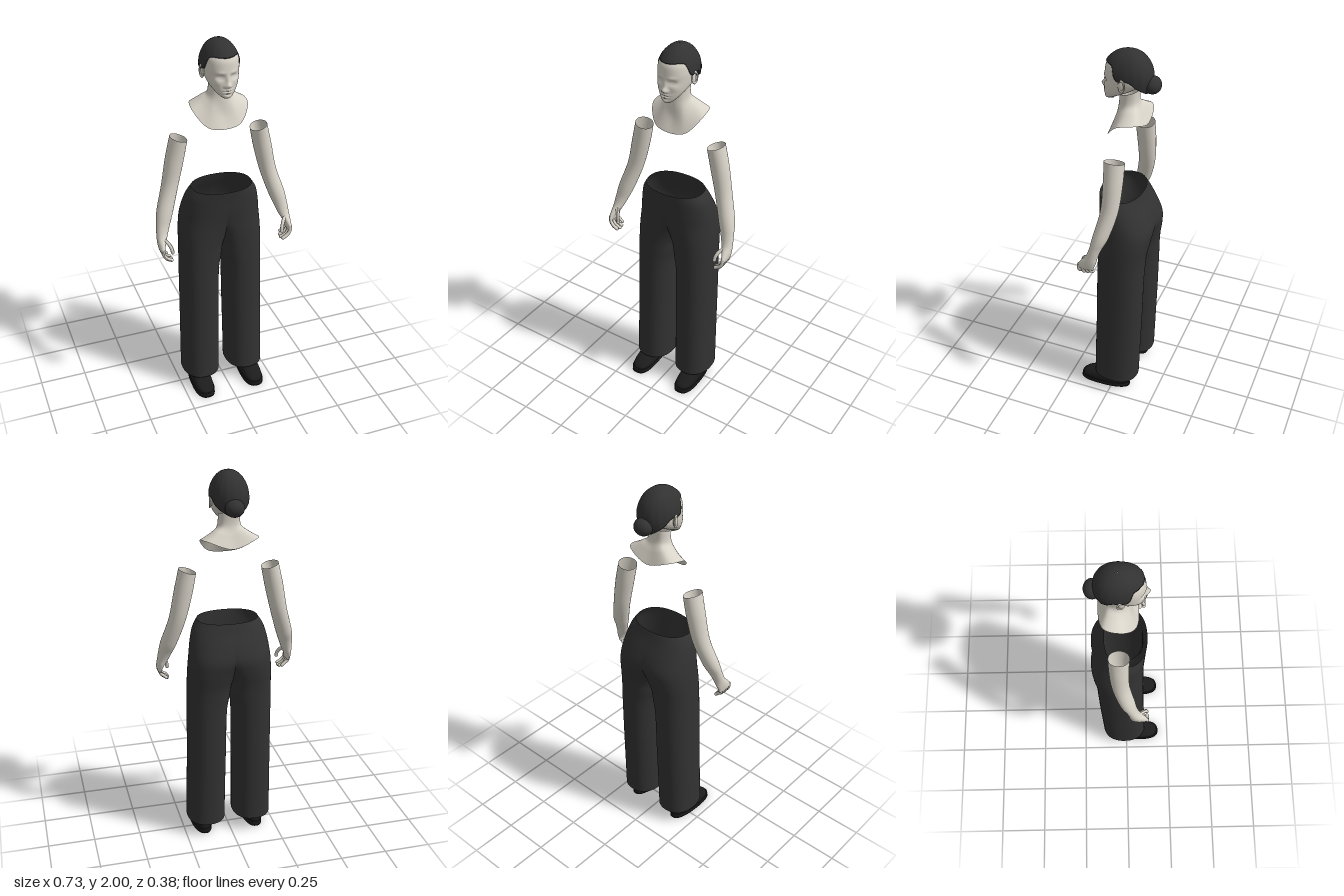
import * as THREE from 'three';

const mat = (name, color, side = THREE.FrontSide) => {
  const m = new THREE.MeshStandardMaterial({ color, side });
  m.name = name;
  return m;
};

// Smoothly resample rows of numbers (Catmull-Rom on every column)
function spline(rows, n) {
  const at = i => rows[Math.max(0, Math.min(rows.length - 1, i))];
  return Array.from({ length: n + 1 }, (_, s) => {
    const u = (s / n) * (rows.length - 1);
    const i = Math.min(Math.floor(u), rows.length - 2), t = u - i;
    return rows[0].map((_, k) => {
      const [a, b, c, d] = [at(i - 1)[k], at(i)[k], at(i + 1)[k], at(i + 2)[k]];
      return b + 0.5 * t * (c - a + t * (2 * a - 5 * b + 4 * c - d + t * (3 * (b - c) + d - a)));
    });
  });
}

// Skin a stack of rings, ordered from top to bottom
function loft(rings, closed = true) {
  const n = rings[0].length, index = [];
  for (let i = 0; i < rings.length - 1; i++) {
    for (let j = 0; j < (closed ? n : n - 1); j++) {
      const a = i * n + j, b = i * n + (j + 1) % n;
      index.push(a, a + n, b, b, a + n, b + n);
    }
  }
  const g = new THREE.BufferGeometry();
  g.setAttribute('position', new THREE.Float32BufferAttribute(rings.flat(2), 3));
  g.setIndex(index);
  g.computeVertexNormals();
  return g;
}

const pow = (v, p) => Math.sign(v) * Math.abs(v) ** p;

// Horizontal rounded ring; tilt raises its back, lean raises its outer side
function ring(n, { cx = 0, y, w, zf, zb, p = 1, tilt = 0, lean = 0, heel = 0 }) {
  return Array.from({ length: n }, (_, j) => {
    const t = (j / n) * Math.PI * 2;
    const back = (1 - Math.cos(t)) / 2;
    const x = w * pow(Math.sin(t), p) * (1 - heel * back);
    const z = (zf + zb) / 2 + (zf - zb) / 2 * pow(Math.cos(t), p);
    return [cx + x, y + tilt * back + lean * x, z];
  });
}

// Mirrored copy across x = 0 with face order corrected
function flip(geo) {
  const g = geo.clone().scale(-1, 1, 1), ix = g.index;
  for (let i = 0; i < ix.count; i += 3) {
    const a = ix.getX(i);
    ix.setX(i, ix.getX(i + 1));
    ix.setX(i + 1, a);
  }
  g.computeVertexNormals();
  return g;
}

function headGeometry() {
  // y, tilt, half width, front z, back z
  const rows = [
    [1.988, 0, 0.002, -0.03, -0.034], [1.983, 0, 0.025, 0, -0.06], [1.963, 0, 0.055, 0.043, -0.095],
    [1.93, 0, 0.079, 0.077, -0.115], [1.89, 0, 0.086, 0.087, -0.12], [1.85, 0, 0.084, 0.088, -0.115],
    [1.81, 0.02, 0.078, 0.090, -0.10], [1.78, 0.04, 0.070, 0.091, -0.085], [1.755, 0.05, 0.055, 0.090, -0.06],
    [1.74, 0.045, 0.038, 0.084, -0.02], [1.734, 0.03, 0.018, 0.068, 0.02], [1.734, 0.02, 0.002, 0.05, 0.046]];
  const g = loft(spline(rows, 88).map(([y, tilt, w, zf, zb]) => ring(100, { y, tilt, w, zf, zb, p: 0.92 })));
  // Facial relief: x, y, depth, spread x, spread y (mirrored when x is not 0)
  const bumps = [
    [0, 1.836, 0.009, 0.009, 0.024], [0, 1.808, 0.019, 0.011, 0.013], [0.013, 1.803, 0.008, 0.007, 0.008],
    [0.033, 1.845, -0.011, 0.017, 0.011], [0.033, 1.844, 0.005, 0.011, 0.005], [0.031, 1.868, 0.004, 0.022, 0.008],
    [0, 1.783, 0.007, 0.02, 0.005], [0, 1.770, 0.007, 0.017, 0.005], [0, 1.777, -0.005, 0.02, 0.002],
    [0, 1.762, -0.003, 0.018, 0.004], [0, 1.749, 0.005, 0.016, 0.010], [0.05, 1.818, 0.004, 0.018, 0.018]];
  const pos = g.attributes.position;
  for (let i = 0; i < pos.count; i++) {
    const x = pos.getX(i), y = pos.getY(i), z = pos.getZ(i);
    if (z < 0.02) continue;
    let dz = 0;
    for (const [bx, by, d, sx, sy] of bumps) {
      dz += d * Math.exp(-(((Math.abs(x) - bx) / sx) ** 2) - ((y - by) / sy) ** 2);
    }
    pos.setZ(i, z + dz * Math.min(1, (z - 0.02) / 0.03));
  }
  g.computeVertexNormals();
  return g;
}

function neckGeometry() {
  // Each row: front, front corner, side, back corner and back points
  const rows = [
    [0, 1.78, 0.015, 0.038, 1.78, 0, 0.054, 1.79, -0.035, 0.04, 1.80, -0.07, 0, 1.80, -0.08],
    [0, 1.715, 0.02, 0.042, 1.72, 0.004, 0.059, 1.73, -0.035, 0.043, 1.735, -0.07, 0, 1.735, -0.08],
    [0, 1.635, 0.03, 0.058, 1.66, 0.022, 0.088, 1.70, -0.035, 0.075, 1.705, -0.088, 0, 1.685, -0.102],
    [0, 1.567, 0.062, 0.086, 1.582, 0.048, 0.145, 1.658, -0.02, 0.127, 1.672, -0.105, 0, 1.632, -0.13]];
  return loft(spline(rows, 30).map(r => {
    const pts = [0, 1, 2, 3, 4].map(i => new THREE.Vector3(r[i * 3], r[i * 3 + 1], r[i * 3 + 2]));
    for (const i of [3, 2, 1]) pts.push(new THREE.Vector3(-pts[i].x, pts[i].y, pts[i].z));
    const c = new THREE.CatmullRomCurve3(pts, true);
    return Array.from({ length: 64 }, (_, j) => c.getPoint(j / 64).toArray());
  }));
}

function hairGeometry() {
  // Hairline height from forehead (first) round to nape (last), every 15 degrees
  const rim = [1.937, 1.938, 1.939, 1.938, 1.928, 1.872, 1.876, 1.868, 1.842, 1.825, 1.81, 1.797, 1.793].map(v => [v]);
  const line = spline(rim, 48), n = 96, rings = [];
  for (let i = 0; i <= 33; i++) {
    const tuck = i === 33;
    rings.push(Array.from({ length: n }, (_, j) => {
      const t = (j / n) * Math.PI * 2, edge = line[Math.min(j, n - j)][0];
      const f = Math.max(0.01, Math.min(i, 32) / 32) * Math.acos((edge - 1.87) / 0.13);
      const r = Math.sin(f) * (tuck ? 0.86 : 1 + 0.006 * Math.cos(t * 16) * Math.sin(f));
      const c = Math.cos(t);
      return [0.095 * r * pow(Math.sin(t), 0.92), 1.87 + 0.13 * Math.cos(f),
        -0.035 + (c > 0 ? 0.136 : 0.112) * r * pow(c, 0.92)];
    }));
  }
  return loft(rings);
}

function trouserLegGeometry() {
  // y, inner x (below zero where both legs merge), outer x, front z, back z
  const rows = [
    [1.238, -0.158, 0.158, 0.108, -0.110], [1.19, -0.165, 0.186, 0.103, -0.128], [1.12, -0.15, 0.203, 0.098, -0.160],
    [1.05, -0.10, 0.212, 0.092, -0.181], [0.98, -0.045, 0.218, 0.090, -0.175], [0.90, -0.010, 0.221, 0.090, -0.162],
    [0.83, 0.001, 0.222, 0.091, -0.157], [0.73, 0.016, 0.223, 0.093, -0.154], [0.50, 0.020, 0.225, 0.098, -0.149],
    [0.29, 0.023, 0.228, 0.105, -0.142], [0.08, 0.025, 0.231, 0.111, -0.135]];
  const p = 0.88;
  return loft(spline(rows, 80).map(([y, xi, xo, zf, zb]) => {
    const c = (xi + xo) / 2, r = (xo - xi) / 2;
    const end = c >= r ? Math.PI : Math.acos(-((Math.max(0, c) / r) ** (1 / p)));
    return Array.from({ length: 57 }, (_, j) => {
      const t = end * (1 - j / 28);
      return [c + r * pow(Math.cos(t), p), y, (zf + zb) / 2 + (zf - zb) / 2 * pow(Math.sin(t), p)];
    });
  }), false);
}

function armGeometry() {
  // centre x, y, front z, back z, half width, lean
  const rows = [
    [0.212, 1.513, 0.015, -0.088, 0.043, 0.3], [0.236, 1.40, 0.011, -0.086, 0.046, 0.2],
    [0.267, 1.26, 0.014, -0.074, 0.042, 0.2], [0.307, 1.13, 0.040, -0.040, 0.041, 0.2],
    [0.325, 1.065, 0.052, -0.010, 0.034, 0.2], [0.336, 1.02, 0.068, 0.006, 0.028, 0.1],
    [0.344, 0.99, 0.092, 0.012, 0.021, 0], [0.349, 0.962, 0.110, 0.022, 0.014, 0],
    [0.348, 0.945, 0.104, 0.028, 0.009, 0], [0.347, 0.94, 0.07, 0.065, 0.001, 0]];
  return loft(spline(rows, 64).map(([cx, y, zf, zb, w, lean]) => ring(36, { cx, y, zf, zb, w, lean })));
}

export function createModel() {
  const root = new THREE.Group();
  const skin = mat('skin', 0xd9d4c9, THREE.DoubleSide);
  const hair = mat('hair', 0x323232, THREE.DoubleSide);
  const cloth = mat('trouser cloth', 0x323232, THREE.DoubleSide);
  const leather = mat('shoe leather', 0x1c1c1c);
  const add = (name, geo, m) => {
    const mesh = new THREE.Mesh(geo, m);
    mesh.name = name;
    root.add(mesh);
  };
  const pair = (name, geo, m) => {
    add(name + 'Left', geo, m);
    add(name + 'Right', flip(geo), m);
  };
  const ball = (rx, ry, rz, x, y, z) => new THREE.SphereGeometry(1, 28, 20).scale(rx, ry, rz).translate(x, y, z);

  // Head, neck and hair
  add('head', headGeometry(), skin);
  add('neck', neckGeometry(), skin);
  add('hair', hairGeometry(), hair);
  add('bun', ball(0.048, 0.043, 0.042, 0, 1.838, -0.147), hair);
  pair('ear', ball(0.007, 0.028, 0.016, 0.088, 1.848, -0.022), skin);
  pair('earRim', new THREE.TorusGeometry(0.016, 0.004, 8, 28).scale(1, 1.75, 1)
    .rotateY(Math.PI / 2 - 0.3).translate(0.092, 1.85, -0.024), skin);

  // Arms and hands
  pair('arm', armGeometry(), skin);
  const digit = (name, pts, r) => {
    const c = new THREE.CatmullRomCurve3(pts.map(q => new THREE.Vector3(...q)));
    pair(name, new THREE.TubeGeometry(c, 14, r, 10), skin);
    pair(name + 'Tip', ball(r, r, r, ...pts[pts.length - 1]), skin);
  };
  [0.101, 0.080, 0.059, 0.039].forEach((z, i) => {
    const s = [0.004, 0, 0.003, 0.012][i];
    digit('finger' + (i + 1), [[0.35, 0.968, z], [0.346, 0.936, z + 0.003],
      [0.331, 0.912 + s, z + 0.004], [0.305 + s, 0.899 + s, z + 0.003]], 0.0095 - i * 0.0004);
  });
  digit('thumb', [[0.334, 1.008, 0.062], [0.314, 0.988, 0.085], [0.304, 0.965, 0.098], [0.301, 0.946, 0.102]], 0.0095);

  // Trousers
  pair('trouserLeg', trouserLegGeometry(), cloth);

  // Shoes: y, half width, front z, back z
  const shoe = (rows, n) => loft(spline(rows, n).map(([y, w, zf, zb]) =>
    ring(48, { cx: 0.145, y, w, zf, zb, p: 0.78, heel: 0.25 })));
  pair('shoeUpper', shoe([[0.125, 0.036, 0.015, -0.075], [0.095, 0.042, 0.045, -0.08], [0.072, 0.051, 0.10, -0.083],
    [0.055, 0.056, 0.145, -0.085], [0.038, 0.059, 0.175, -0.086], [0.02, 0.06, 0.184, -0.087]], 24), leather);
  pair('shoeSole', shoe([[0.025, 0.058, 0.182, -0.085], [0.023, 0.063, 0.189, -0.09], [0.012, 0.063, 0.19, -0.09],
    [0.001, 0.062, 0.188, -0.089], [0, 0.058, 0.182, -0.085], [0, 0.001, 0.05, 0.048]], 20), leather);
  return root;
}
